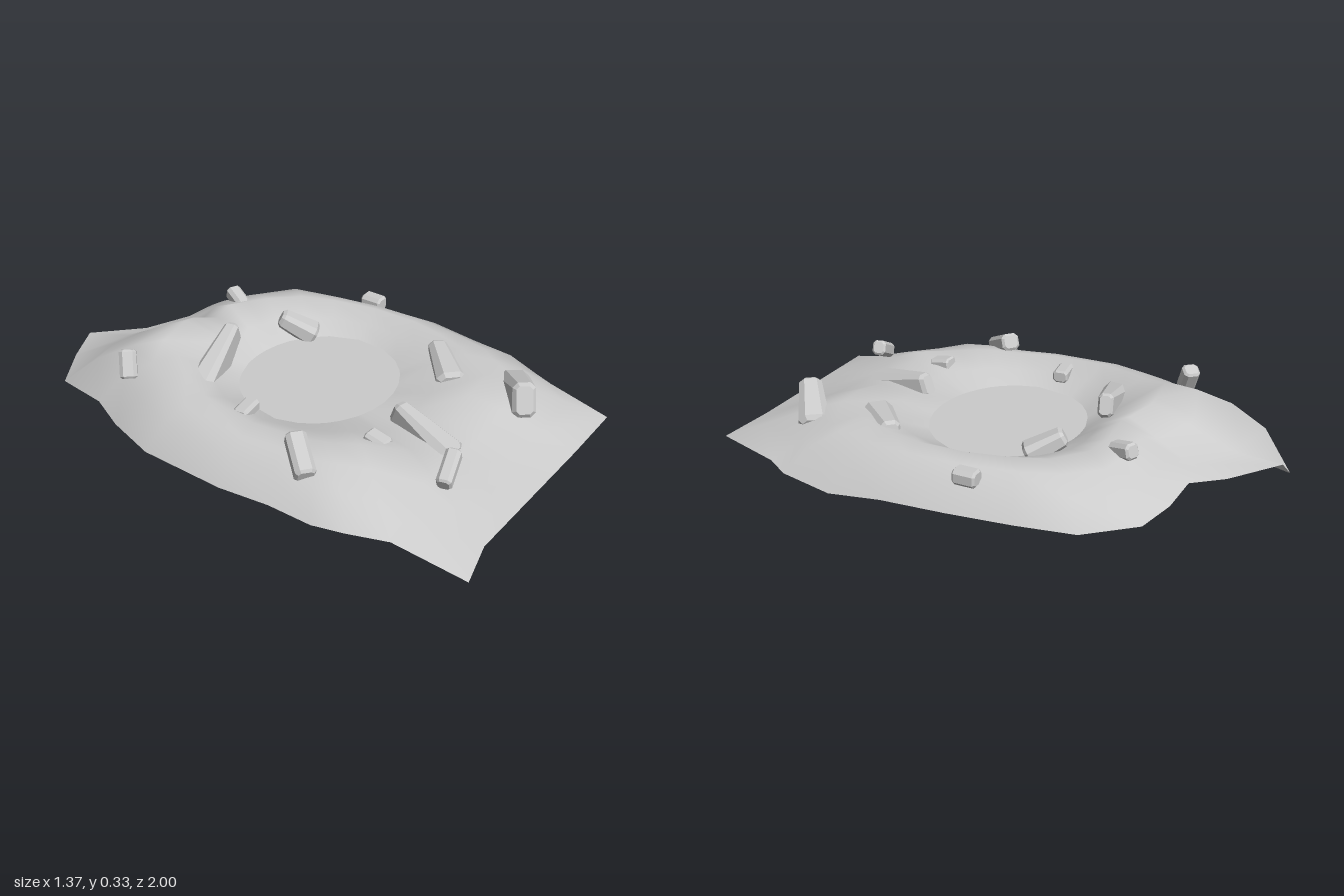
import * as THREE from 'three';

// Spokes, clockwise from the back: edge x, edge y, edge z, rim height, hollowness of the outer slope
const SPOKES = [
  [-0.26, 0.05, -1.0, 0.31, 2], [-0.18, 0.12, -0.99, 0.305, 3.5], [0.0, 0.11, -0.84, 0.28, 3.5],
  [0.13, 0.13, -0.74, 0.3, 2], [0.3, 0.12, -0.735, 0.27, 1.6], [0.44, 0.1, -0.69, 0.255, 1.5],
  [0.59, 0.1, -0.52, 0.25, 1], [0.63, 0.1, -0.3, 0.25, 1], [0.66, 0.1, -0.05, 0.25, 1], [0.68, 0.1, 0.2, 0.25, 1],
  [0.675, 0.07, 0.42, 0.25, 1], [0.65, 0.09, 0.63, 0.25, 1], [0.6, 0.1, 0.72, 0.25, 1.5],
  [0.51, 0.1, 1, 0.245, 2], [0.25, 0.09, 1, 0.235, 2], [0.0, 0.09, 1, 0.2, 1.8], [-0.22, 0.09, 1, 0.185, 1.6],
  [-0.42, 0.09, 1, 0.21, 1.8], [-0.51, 0, 1, 0.235, 1.8], [-0.58, 0.09, 0.74, 0.24, 1.5],
  [-0.64, 0.1, 0.6, 0.24, 1], [-0.67, 0.1, 0.48, 0.24, 1], [-0.665, 0.1, 0.3, 0.24, 1],
  [-0.685, 0.1, 0.1, 0.245, 1], [-0.67, 0.1, -0.25, 0.26, 1], [-0.6, 0.1, -0.46, 0.275, 1],
  [-0.52, 0.1, -0.62, 0.29, 1], [-0.49, 0.1, -0.83, 0.305, 1.2],
];
const FLOOR = 0.17, CX = 0.02, CZ = 0.03;

// Rings: distance from floor edge to outer edge, share of rim height kept
const RINGS = [[0, 0], [0.2, 0.5], [0.42, 1], [0.6, 0.87], [0.8, 0.6], [1, 0]];

const material = (extra = {}) => new THREE.MeshStandardMaterial({ color: 0xcccccc, ...extra });

// Points where each spoke meets the crater floor
const floorEdge = SPOKES.map(([x, , z]) => {
  const a = Math.atan2((z - CZ) / 0.295, (x - CX) / 0.33);
  return [CX + 0.33 * Math.cos(a), CZ + 0.295 * Math.sin(a)];
});

function sheet(name, positions, indices) {
  const geometry = new THREE.BufferGeometry();
  geometry.setAttribute('position', new THREE.Float32BufferAttribute(positions, 3));
  geometry.setIndex(indices);
  geometry.computeVertexNormals();
  const mesh = new THREE.Mesh(geometry, material({ side: THREE.DoubleSide }));
  mesh.name = name;
  return mesh;
}

// Raised rim falling away to the ragged outer edge: rounded at the sides,
// straighter in front, hollow along the tongue at the back
function craterRim() {
  const pos = [], idx = [], n = SPOKES.length;
  RINGS.forEach(([u, k], r) => SPOKES.forEach(([x, y, z, rim, hollow], i) => {
    const [fx, fz] = floorEdge[i];
    const inner = u < 0.42;
    const out = z < -0.83 ? u ** 1.25 : u;
    const base = inner ? FLOOR : y;
    pos.push(fx + (x - fx) * out, base + (rim - base) * (inner ? k : k ** hollow), fz + (z - fz) * out);
    if (r === 0) return;
    const j = (i + 1) % n, a = (r - 1) * n, b = r * n;
    idx.push(a + i, a + j, b + i, a + j, b + j, b + i);
  }));
  return sheet('craterRim', pos, idx);
}

// Flat floor fan
function craterFloor() {
  const pos = [CX, FLOOR, CZ], idx = [], n = SPOKES.length;
  floorEdge.forEach(([x, z], i) => {
    pos.push(x, FLOOR, z);
    idx.push(0, 1 + (i + 1) % n, 1 + i);
  });
  return sheet('craterFloor', pos, idx);
}

// Chamfered stone running between two points, narrowed towards its far end
function stone(name, from, to, width, height, taper = 1) {
  const a = new THREE.Vector3(...from), b = new THREE.Vector3(...to);
  const length = a.distanceTo(b), w = width / 2, h = height / 2, c = Math.min(w, h) * 0.45;
  const bevel = c * 0.6;
  const shape = new THREE.Shape([
    [-w + c, -h], [w - c, -h], [w, -h + c], [w, h - c], [w - c, h], [-w + c, h], [-w, h - c], [-w, -h + c],
  ].map(([x, y]) => new THREE.Vector2(x, y)));
  const geometry = new THREE.ExtrudeGeometry(shape, {
    depth: length - 2 * bevel, bevelThickness: bevel, bevelSize: bevel, bevelOffset: -bevel, bevelSegments: 1,
  });
  geometry.translate(0, 0, bevel);
  const p = geometry.attributes.position;
  for (let i = 0; i < p.count; i++) {
    const s = 1 + (taper - 1) * p.getZ(i) / length;
    p.setXY(i, p.getX(i) * s, p.getY(i) * s);
  }
  geometry.computeVertexNormals();
  const mesh = new THREE.Mesh(geometry, material({ flatShading: true }));
  mesh.name = name;
  mesh.position.copy(a);
  mesh.lookAt(b);
  return mesh;
}

export function createModel() {
  const group = new THREE.Group();
  group.name = 'crater';
  group.add(craterRim(), craterFloor());

  // Long slabs driven through the ground: low end, high end, width, height, taper
  [
    [[-0.36, 0.15, -0.26], [-0.03, 0.285, -0.345], 0.11, 0.17, 0.5],
    [[0.27, 0.175, -0.17], [0.2, 0.25, -0.29], 0.1, 0.09, 0.7],
    [[-0.11, 0.11, 0.68], [-0.05, 0.21, 0.42], 0.12, 0.18, 0.5],
    [[0.24, 0.17, 0.48], [0.41, 0.215, 0.31], 0.12, 0.15, 0.6],
    [[0.4, 0.14, 0.66], [0.23, 0.24, 0.79], 0.12, 0.18, 0.7],
  ].forEach((s) => group.add(stone('rockSlab', ...s)));

  // Small loose stones
  [
    [[-0.47, 0.22, -0.5], [-0.43, 0.315, -0.535], 0.065, 0.06],
    [[0.2, 0.24, -0.48], [0.24, 0.265, -0.57], 0.06, 0.06],
    [[0.58, 0.215, -0.14], [0.58, 0.215, -0.05], 0.065, 0.06],
    [[-0.43, 0.22, -0.005], [-0.33, 0.22, -0.02], 0.06, 0.05],
    [[-0.57, 0.2, 0.39], [-0.47, 0.27, 0.27], 0.075, 0.07],
    [[-0.265, 0.205, 0.52], [-0.26, 0.22, 0.435], 0.065, 0.05],
    [[-0.33, 0.19, 0.785], [-0.21, 0.25, 0.755], 0.055, 0.06],
  ].forEach((s) => group.add(stone('looseStone', ...s)));
  return group;
}
